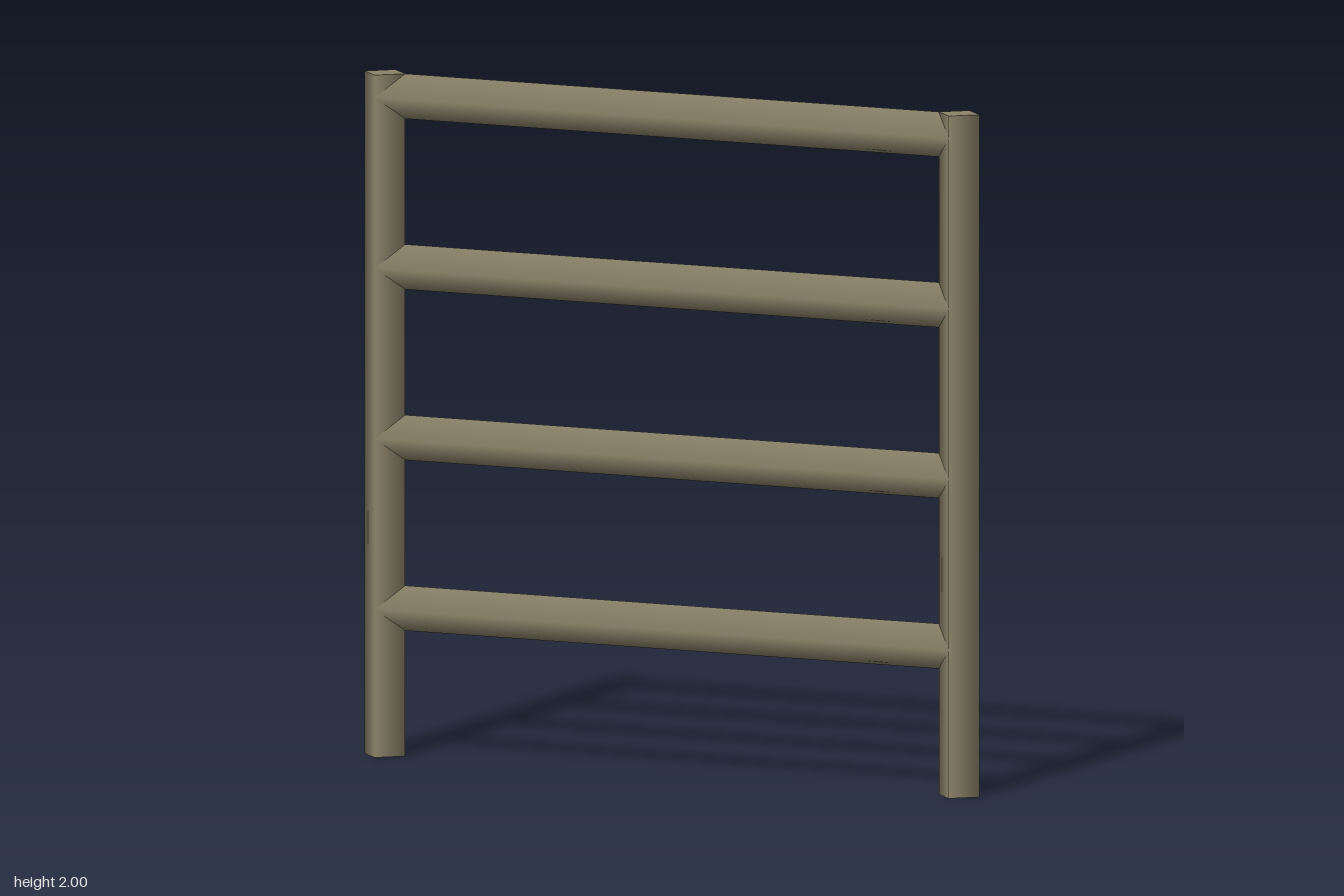
import * as THREE from 'three';

const HEIGHT = 2;
const RADIUS = 0.066;
const POST_X = 1 - RADIUS;
const RUNG_COUNT = 4;
const RUNG_STEP = 0.5;

export function createModel() {
  const group = new THREE.Group();
  group.name = 'railFence';

  const wood = new THREE.MeshStandardMaterial({ color: 0x8b8369 });
  wood.name = 'weathered wood';

  // Four-sided bars set on edge, with smooth normals around the sides
  const postGeometry = new THREE.CylinderGeometry(RADIUS, RADIUS, HEIGHT, 4);
  const rungGeometry = new THREE.CylinderGeometry(RADIUS, RADIUS, POST_X * 2, 4);
  rungGeometry.rotateZ(Math.PI / 2);

  // Upright posts
  for (const [name, side] of [['leftPost', 1], ['rightPost', -1]]) {
    const post = new THREE.Mesh(postGeometry, wood);
    post.name = name;
    post.position.set(side * POST_X, HEIGHT / 2, 0);
    group.add(post);
  }

  // Evenly spaced rungs, the highest level with the post tops
  for (let i = 0; i < RUNG_COUNT; i++) {
    const rung = new THREE.Mesh(rungGeometry, wood);
    rung.name = `rung${i + 1}`;
    rung.position.y = HEIGHT - RADIUS - (RUNG_COUNT - 1 - i) * RUNG_STEP;
    group.add(rung);
  }

  return group;
}
